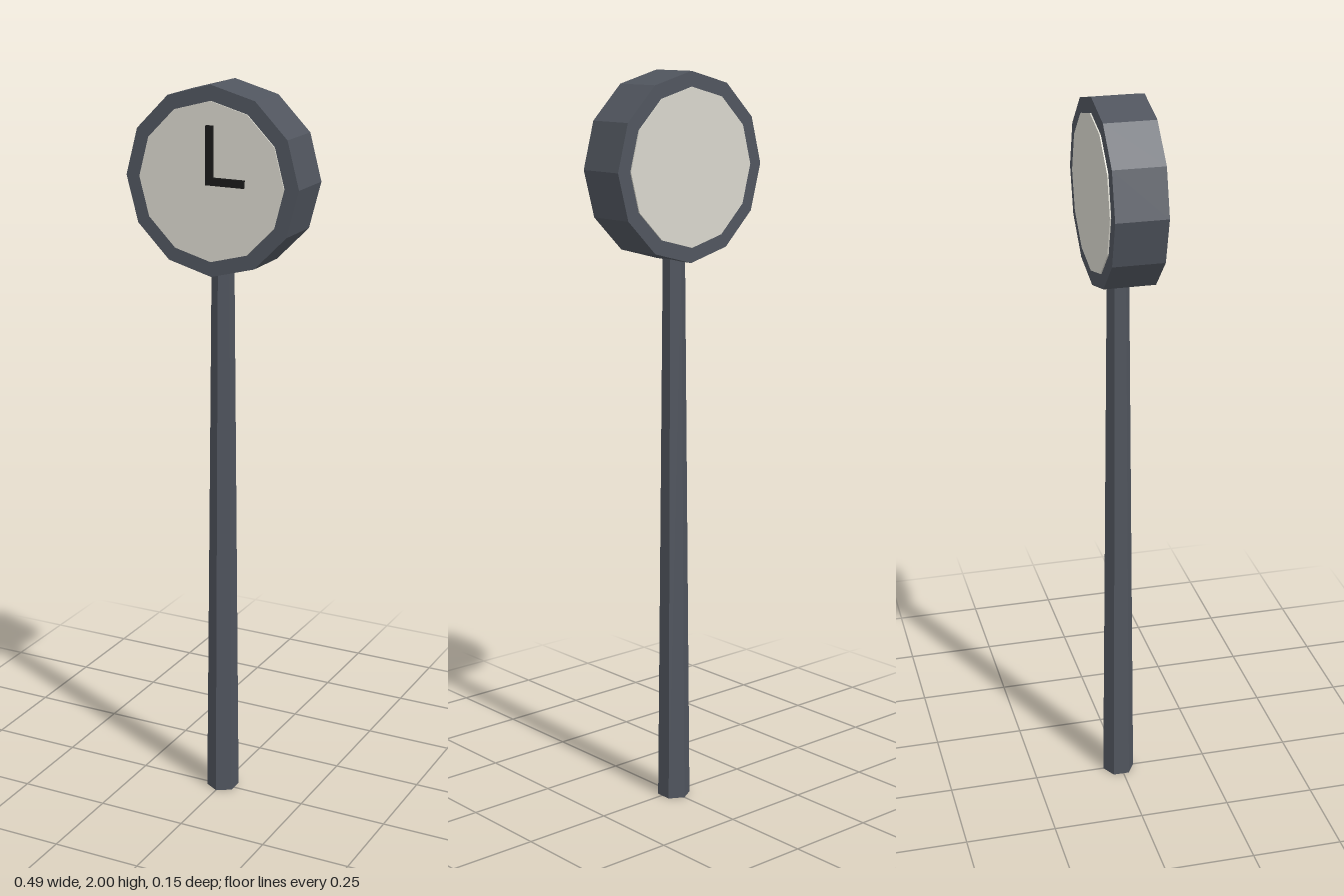
import * as THREE from 'three';

export function createModel() {
  const model = new THREE.Group();
  model.name = 'postClock';

  const mat = (name, color) => {
    const m = new THREE.MeshStandardMaterial({ color, flatShading: true });
    m.name = name;
    return m;
  };
  const metal = mat('darkMetal', 0x50555e);
  const ivory = mat('ivoryDial', 0xd8d6cc);
  const black = mat('blackHands', 0x1a1a1a);

  const add = (name, geometry, material, x, y, z) => {
    const mesh = new THREE.Mesh(geometry, material);
    mesh.name = name;
    mesh.position.set(x, y, z);
    model.add(mesh);
    return mesh;
  };

  const axisZ = -0.0065; // pole and drum share this axis
  const centerY = 1.753;

  // Tapered six-sided pole, ending just inside the drum
  const poleHeight = 1.53;
  add('pole', new THREE.CylinderGeometry(0.03, 0.045, poleHeight, 6), metal, 0, poleHeight / 2, axisZ);

  // Twelve-sided drum housing
  const drum = new THREE.CylinderGeometry(0.247, 0.247, 0.137, 12).rotateX(Math.PI / 2);
  add('clockHousing', drum, metal, 0, centerY, axisZ);

  // Thin dials on both sides
  for (const [name, side] of [['frontDial', 1], ['backDial', -1]]) {
    const dial = new THREE.CylinderGeometry(0.207, 0.207, 0.006, 12).rotateX(Math.PI / 2);
    add(name, dial, ivory, 0, centerY, axisZ + side * 0.069);
  }

  // Hands on the front dial, showing three o'clock
  add('minuteHand', new THREE.BoxGeometry(0.02, 0.152, 0.009), black, 0, 1.823, 0.0705);
  add('hourHand', new THREE.BoxGeometry(0.108, 0.02, 0.009), black, 0.044, 1.757, 0.0705);

  return model;
}
